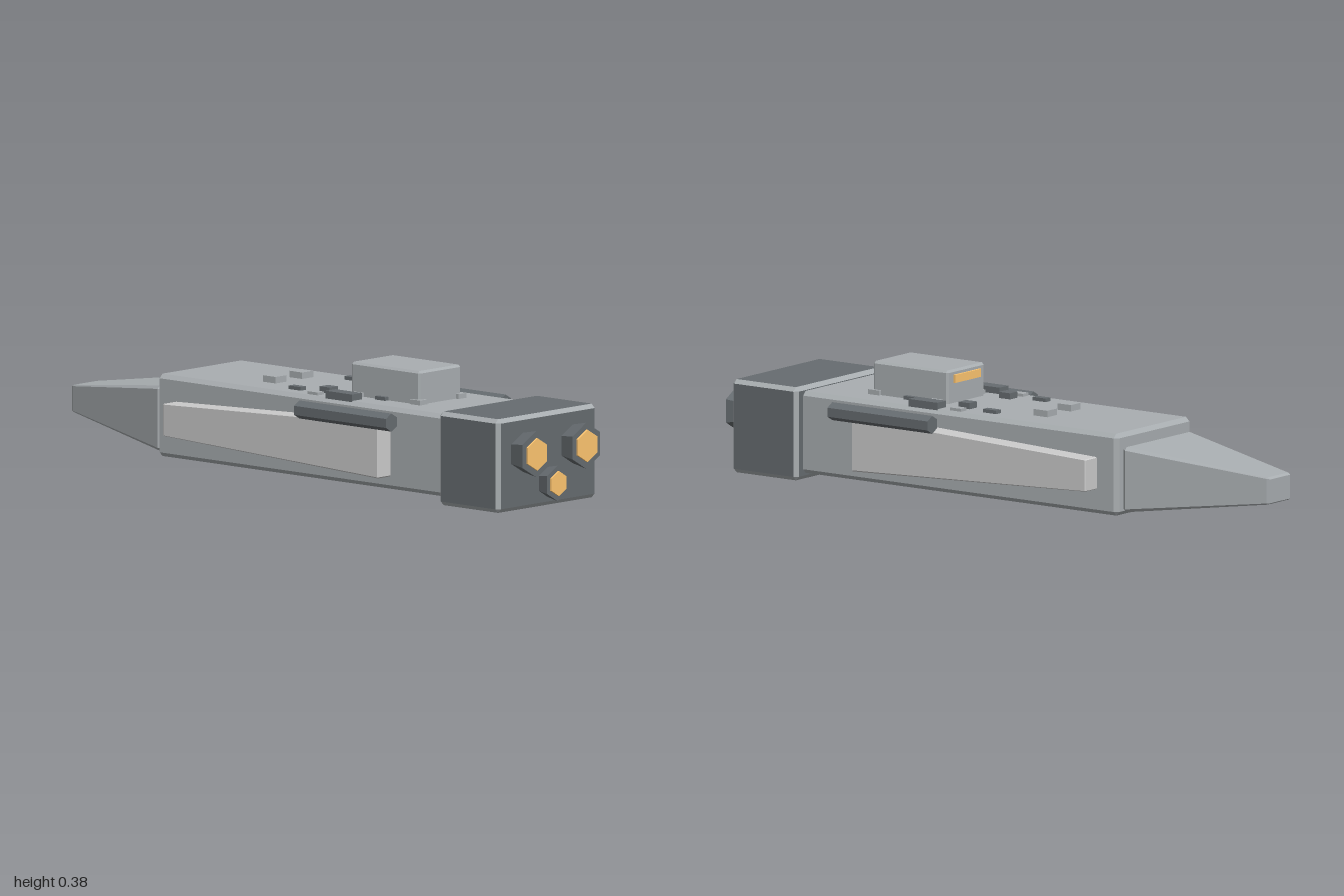
import * as THREE from 'three';
import { ConvexGeometry } from 'three/addons/geometries/ConvexGeometry.js';

const paint = (color) => new THREE.MeshStandardMaterial({ color, flatShading: true });

// Box with chamfered edges, given by its limits on each axis. Faces use
// material group 0, chamfers group 1. taper(p, t) moves corners; t = 0 at min z, 1 at max z.
function chamferBox([x0, x1], [y0, y1], [z0, z1], c, taper) {
  const centre = new THREE.Vector3(x0 + x1, y0 + y1, z0 + z1).multiplyScalar(0.5);
  const half = [(x1 - x0) / 2, (y1 - y0) / 2, (z1 - z0) / 2];
  const points = [];
  for (const sx of [-1, 1]) for (const sy of [-1, 1]) for (const sz of [-1, 1]) {
    for (let axis = 0; axis < 3; axis++) {
      const s = [sx, sy, sz];
      const v = half.map((h, i) => s[i] * (i === axis ? h : h - c));
      const p = new THREE.Vector3(...v).add(centre);
      if (taper) taper(p, (p.z - z0) / (z1 - z0));
      points.push(p);
    }
  }
  const geo = new ConvexGeometry(points);
  const n = geo.attributes.normal;
  for (let i = 0; i < n.count; i += 3) {
    const flat = Math.max(Math.abs(n.getX(i)), Math.abs(n.getY(i)), Math.abs(n.getZ(i))) > 0.9;
    geo.addGroup(i, 3, flat ? 0 : 1);
  }
  return geo;
}

// Hexagonal prism along z, corner up
function hexPrism(rFront, rBack, z0, z1) {
  return new THREE.CylinderGeometry(rFront, rBack, z1 - z0, 6)
    .rotateX(Math.PI / 2).translate(0, 0, (z0 + z1) / 2);
}

export function createModel() {
  const model = new THREE.Group();
  model.name = 'spaceship';
  const hull = paint(0xa9aeb1);
  const dark = paint(0x666c70);
  const gold = paint(0xffc670);
  const grey = paint(0xcccccc);

  const add = (name, geo, face, edge = face) => {
    const mesh = new THREE.Mesh(geo, geo.groups.length && face !== edge ? [face, edge] : face);
    if (!Array.isArray(mesh.material)) geo.clearGroups();
    mesh.name = name;
    model.add(mesh);
    return mesh;
  };

  // Main body, engine block and bridge
  add('hull', chamferBox([-0.19, 0.19], [0.02, 0.275], [-0.518, 0.7], 0.013), hull);
  add('engineBlock', chamferBox([-0.223, 0.223], [0, 0.29], [0.685, 0.937], 0.0125), dark, hull);
  add('bridge', chamferBox([-0.095, 0.095], [0.255, 0.378], [0.203, 0.49], 0.007), hull);
  const window = add('bridgeWindow', new THREE.BoxGeometry(0.13, 0.025, 0.012), gold);
  window.position.set(0, 0.35, 0.202);

  // Nose, tapering to the tip
  add('nose', chamferBox([-0.172, 0.172], [0.03, 0.235], [-1, -0.522], 0.01, (p, t) => {
    p.x *= 0.31 + 0.69 * t;
    p.y = 0.132 + (p.y - 0.132) * (0.4 + 0.6 * t);
  }), hull);

  // Thrusters: flared nozzle and glowing disc
  const thruster = (name, x, y, r, zEnd) => {
    add(name + 'Nozzle', hexPrism(r, r * 0.82, 0.93, zEnd), dark).position.set(x, y, 0);
    add(name + 'Glow', hexPrism(r * 0.7, r * 0.7, zEnd - 0.01, zEnd + 0.006), gold).position.set(x, y, 0);
  };
  thruster('lowerThruster', 0, 0.073, 0.055, 0.978);

  // Surface details on the deck: [x, z, width, depth, top, material]
  const details = [
    [0.06, -0.145, 0.05, 0.052, 0.295, hull],
    [0.126, 0.01, 0.024, 0.05, 0.286, dark],
    [0.103, 0.12, 0.038, 0.042, 0.294, dark],
    [0.157, 0.115, 0.028, 0.042, 0.284, hull],
    [0.158, 0.233, 0.045, 0.11, 0.295, dark],
    [0.107, 0.24, 0.02, 0.042, 0.288, hull],
    [0.098, 0.34, 0.024, 0.042, 0.286, dark],
    [0.087, 0.48, 0.034, 0.042, 0.29, hull],
  ];

  for (const [side, s] of [['left', 1], ['right', -1]]) {
    thruster(side + 'Thruster', s * 0.113, 0.178, 0.0715, 0.993);

    // Armour panel, deeper toward the engines
    const xs = [s * 0.185, s * 0.248].sort((a, b) => a - b);
    add(side + 'Panel', chamferBox(xs, [0.06, 0.232], [-0.44, 0.458], 0.004, (p, t) => {
      p.y = 0.148 + (p.y - 0.148) * (0.58 + 0.42 * t);
    }), grey);

    // Gun barrel above the panel
    add(side + 'Barrel', hexPrism(0.028, 0.028, 0.14, 0.523), dark).position.set(s * 0.257, 0.242, 0);

    for (const [x, z, w, d, top, material] of details) {
      const h = top - 0.265;
      add(side + 'DeckDetail', new THREE.BoxGeometry(w, h, d), material)
        .position.set(s * x, top - h / 2, z);
    }
  }
  return model;
}
